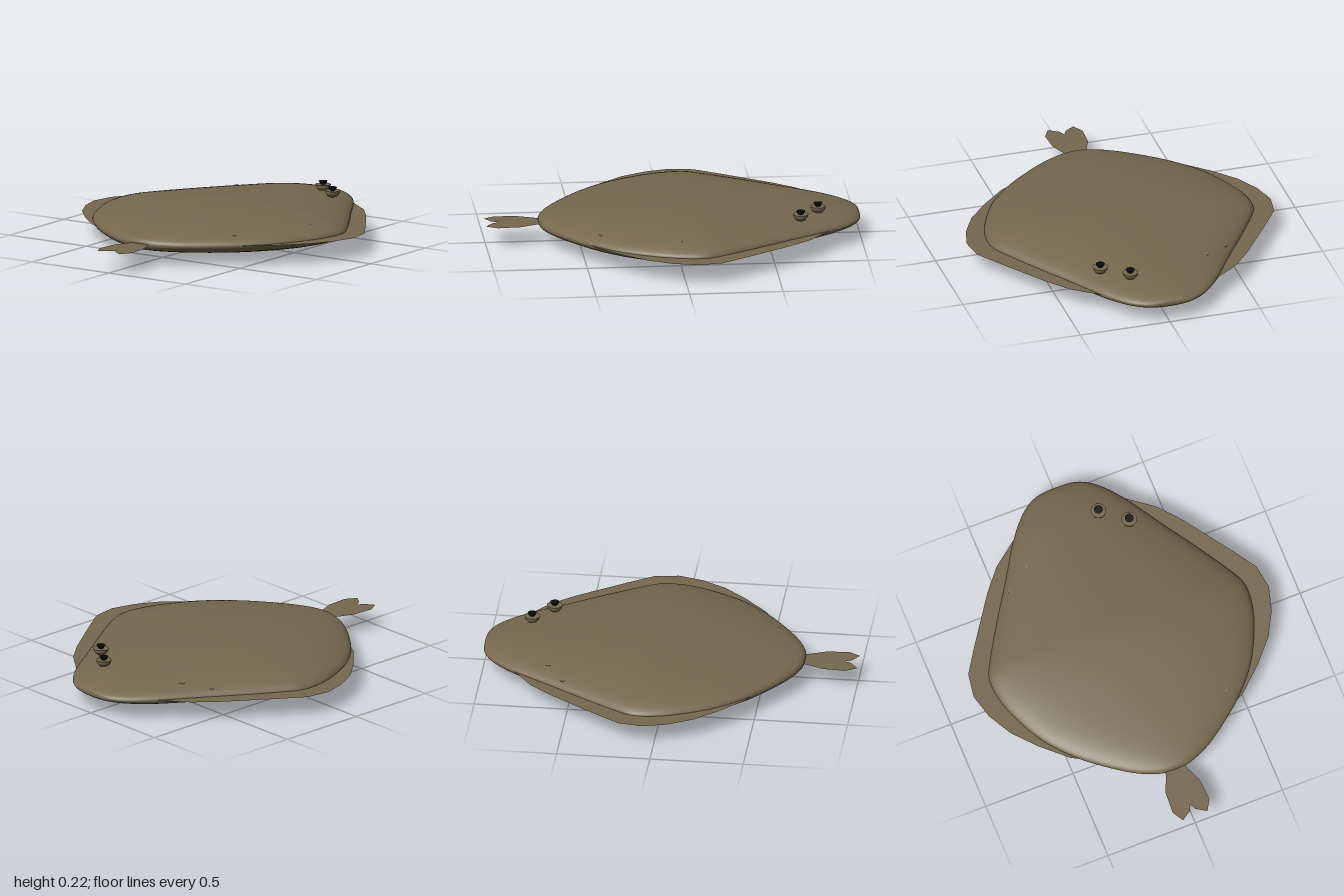
import * as THREE from 'three';

const MID = 0.109; // height of the body's edge line

// Half width, half height and z of the body, from nose to tail root
const STATIONS = [
  [0, 0, -1], [0.09, 0.014, -0.995], [0.15, 0.027, -0.975], [0.22, 0.041, -0.925], [0.31, 0.06, -0.82],
  [0.45, 0.08, -0.6], [0.58, 0.094, -0.4], [0.70, 0.105, -0.2], [0.728, 0.108, -0.14],
  [0.735, 0.109, -0.08], [0.722, 0.107, 0.02], [0.69, 0.102, 0.12], [0.6, 0.088, 0.3],
  [0.475, 0.073, 0.45], [0.32, 0.056, 0.58], [0.2, 0.041, 0.66], [0.11, 0.028, 0.7],
  [0.06, 0.014, 0.713], [0, 0, 0.716],
];

// Loft of elliptical cross-sections along z
function bodyGeometry(rings = 90, sides = 56) {
  const curve = new THREE.CatmullRomCurve3(STATIONS.map(p => new THREE.Vector3(...p)), false, 'centripetal');
  const pos = [], idx = [];
  for (let i = 0; i <= rings; i++) {
    const p = curve.getPoint(i / rings);
    for (let j = 0; j < sides; j++) {
      const a = (j / sides) * Math.PI * 2;
      pos.push(Math.max(p.x, 0) * Math.cos(a), MID + Math.max(p.y, 0) * Math.sin(a), p.z);
      if (i === rings) continue;
      const k = (j + 1) % sides;
      const A = i * sides + j, B = i * sides + k, C = A + sides, D = B + sides;
      idx.push(A, B, C, B, D, C);
    }
  }
  const g = new THREE.BufferGeometry();
  g.setAttribute('position', new THREE.Float32BufferAttribute(pos, 3));
  g.setIndex(idx);
  g.computeVertexNormals();
  // One shared normal at each pole
  const n = g.attributes.normal;
  for (let j = 0; j < sides; j++) {
    n.setXYZ(j, 0, 0, -1);
    n.setXYZ(rings * sides + j, 0, 0, 1);
  }
  return g;
}

// Flat horizontal sheet from [x, z] points
function sheet(points) {
  const shape = new THREE.Shape(points.map(([x, z]) => new THREE.Vector2(x, -z)));
  return new THREE.ShapeGeometry(shape).rotateX(-Math.PI / 2).translate(0, MID + 0.002, 0);
}

export function createModel() {
  const skin = new THREE.MeshStandardMaterial({ color: 0x75684e });
  const finSkin = new THREE.MeshStandardMaterial({ color: 0x75684e, side: THREE.DoubleSide });
  const spotSkin = new THREE.MeshStandardMaterial({ color: 0x85785c });
  const black = new THREE.MeshStandardMaterial({ color: 0x0c0c0c });
  skin.name = 'skin';
  finSkin.name = 'fin skin';
  spotSkin.name = 'spot';
  black.name = 'pupil black';

  const model = new THREE.Group();
  model.name = 'flatfish';
  const add = (name, geometry, material, parent = model) => {
    const mesh = new THREE.Mesh(geometry, material);
    mesh.name = name;
    parent.add(mesh);
    return mesh;
  };

  add('body', bodyGeometry(), skin);

  // Side fins: outer outline, closed by an inner edge hidden in the body
  const fin = [
    [0.29, -0.83], [0.46, -0.7], [0.56, -0.58], [0.65, -0.45], [0.74, -0.32], [0.825, -0.19],
    [0.845, -0.06], [0.81, 0.07], [0.74, 0.2], [0.63, 0.325], [0.495, 0.45], [0.28, 0.565],
    [0.26, 0.5], [0.6, -0.05], [0.27, -0.72],
  ];
  for (const [name, s] of [['leftFin', 1], ['rightFin', -1]]) {
    add(name, sheet(fin.map(([x, z]) => [s * x, z])), finSkin);
  }

  // Forked tail
  const half = [[0.05, 0.68], [0.06, 0.73], [0.098, 0.82], [0.105, 0.94], [0.07, 1], [0.017, 0.965]];
  const mirrored = half.map(([x, z]) => [-x, z]).reverse();
  add('tailFin', sheet([...half, [0, 0.93], ...mirrored]), finSkin);

  // Both eyes sit on the upper side: a shallow bowl with a raised pupil
  for (const [x, z] of [[0.15, -0.765], [0.285, -0.66]]) {
    const eye = new THREE.Group();
    eye.name = 'eye';
    eye.position.set(x, 0, z);
    add('eyeBase', new THREE.CylinderGeometry(0.038, 0.022, 0.018, 24), skin, eye).position.y = 0.176;
    add('eyeRim', new THREE.CylinderGeometry(0.041, 0.038, 0.015, 24), skin, eye).position.y = 0.1925;
    add('pupil', new THREE.CylinderGeometry(0.024, 0.012, 0.02, 20), black, eye).position.y = 0.208;
    model.add(eye);
  }

  // Small speckles sunk into the back, with only their outer rims showing
  const spots = [[0.4, 0.152, 0.41], [-0.31, 0.16, -0.62], [-0.44, 0.142, -0.53],
    [0.59, 0.165, 0], [-0.12, 0.1865, 0.345]];
  for (const [x, y, z] of spots) {
    add('speckle', new THREE.CylinderGeometry(0.018, 0.018, 0.006, 12), spotSkin).position.set(x, y, z);
  }
  return model;
}
